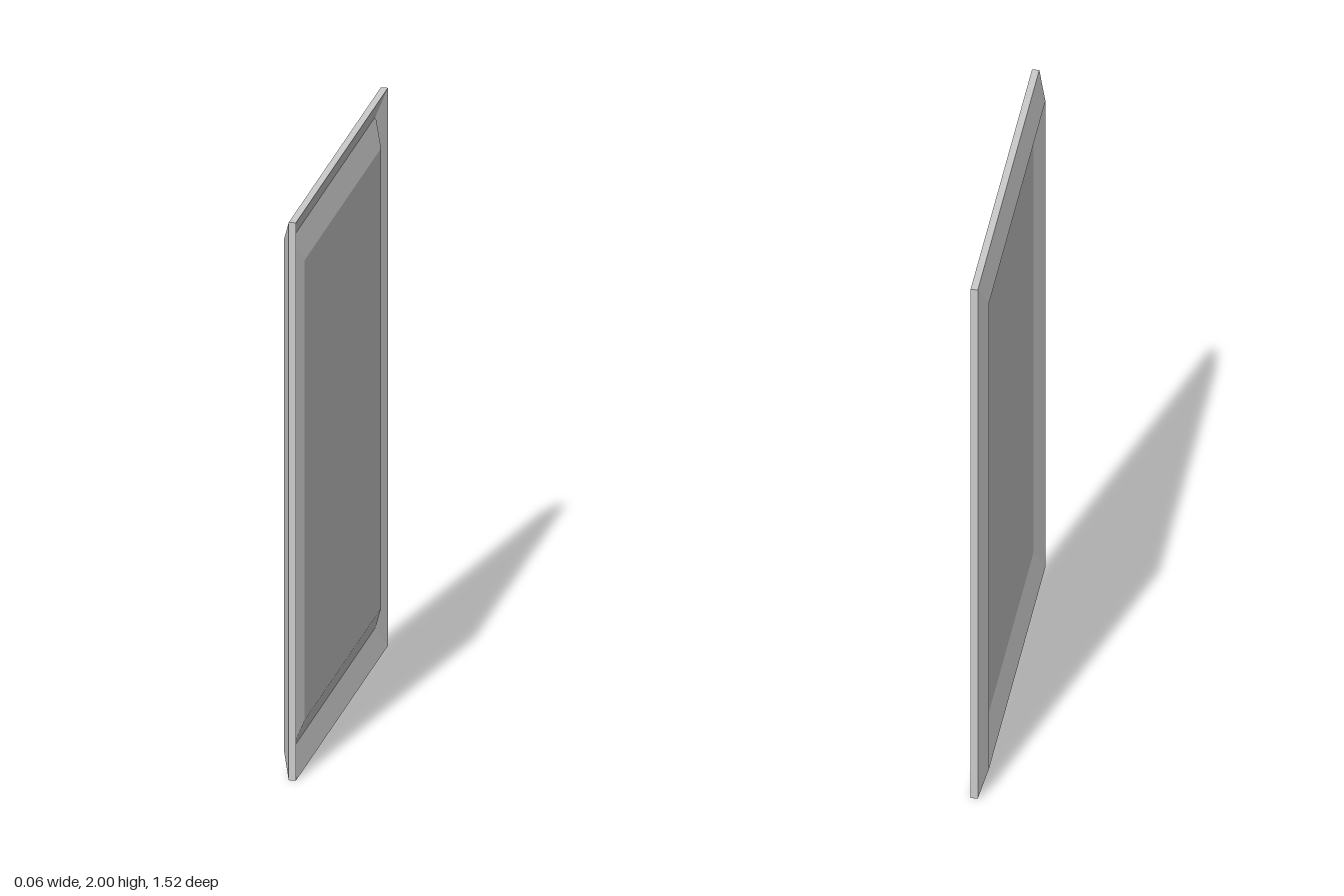
import * as THREE from 'three';

const material = new THREE.MeshStandardMaterial({ color: 0xcccccc, flatShading: true });

// Half sizes [y, z] of the three nested rectangles
const OUTER = [1, 0.76], GROOVE = [0.916, 0.697], FIELD = [0.825, 0.63];

// Four corners of a rectangle at depth x, counter-clockwise seen from +x
function ring(x, [hy, hz]) {
  return [[-1, 1], [-1, -1], [1, -1], [1, 1]].map(([sy, sz]) => [x, 1 + sy * hy, sz * hz]);
}

// Joins successive rings with mitred quads; optionally closes both ends
function loft(name, rings, capped) {
  const positions = [];
  const quad = (a, b, c, d) => positions.push(...a, ...b, ...c, ...a, ...c, ...d);
  for (let i = 0; i < rings.length - 1; i++) {
    for (let k = 0; k < 4; k++) {
      const n = (k + 1) % 4;
      quad(rings[i][k], rings[i][n], rings[i + 1][n], rings[i + 1][k]);
    }
  }
  if (capped) {
    quad(...rings[0].slice().reverse());
    quad(...rings[rings.length - 1]);
  }
  const geometry = new THREE.BufferGeometry();
  geometry.setAttribute('position', new THREE.Float32BufferAttribute(positions, 3));
  geometry.computeVertexNormals();
  const mesh = new THREE.Mesh(geometry, material);
  mesh.name = name;
  return mesh;
}

export function createModel() {
  const model = new THREE.Group();
  model.name = 'framedPanel';

  // Frame: mitred border sloping inwards, with inner and outer edges
  const backInner = ring(-0.03, GROOVE);
  model.add(loft('frame', [
    backInner, ring(0, OUTER), ring(0.025, OUTER), ring(-0.005, GROOVE), backInner,
  ], false));

  // Panel: bevelled rim rising to a flat field, hollow at the back
  model.add(loft('panel', [
    ring(0.002, FIELD), ring(-0.03, GROOVE), ring(-0.005, GROOVE), ring(0.028, FIELD),
  ], true));

  return model;
}
